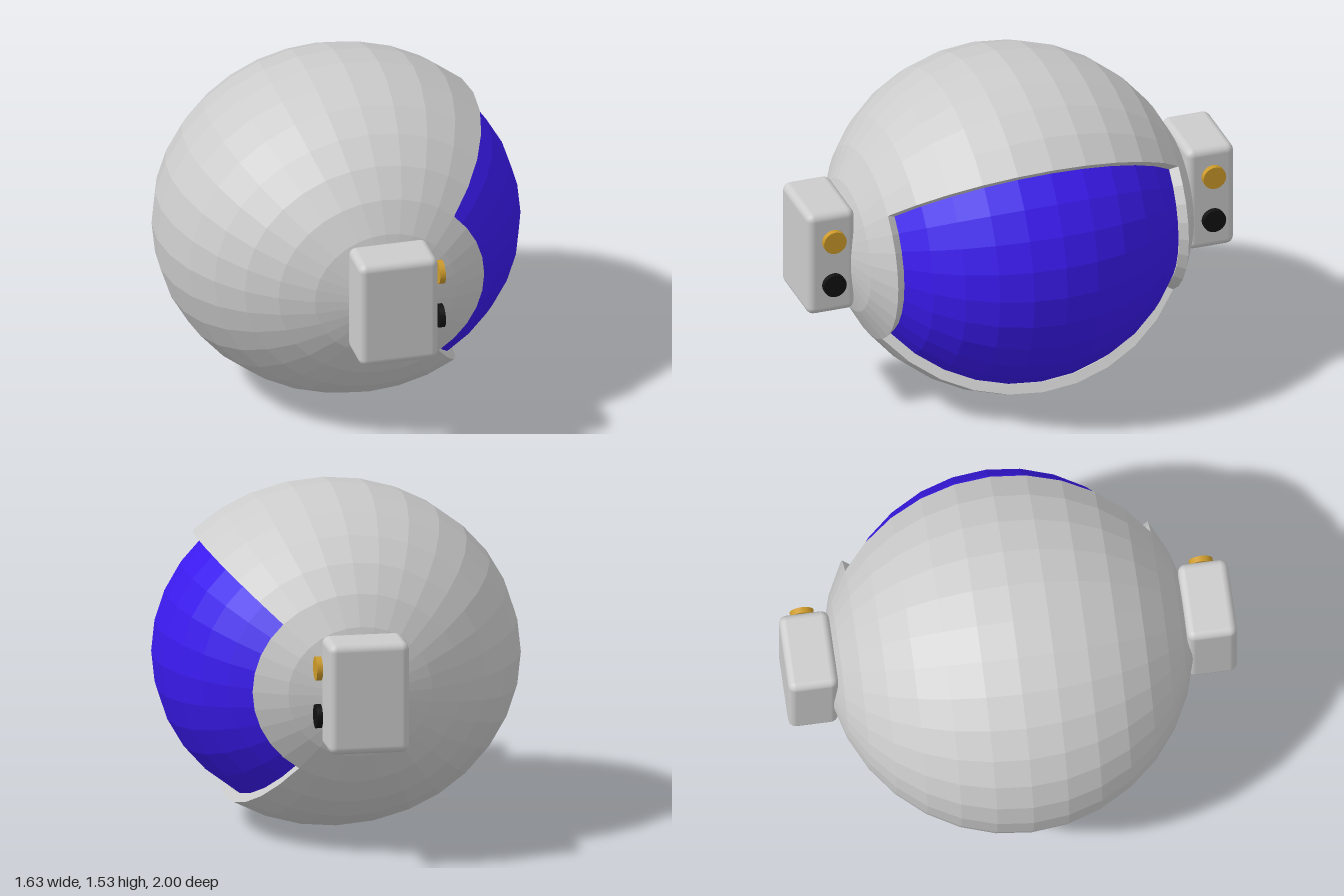
import * as THREE from 'three';
import { RoundedBoxGeometry } from 'three/addons/geometries/RoundedBoxGeometry.js';

const CX = 0.028, CY = 0.767;
const RINGS = 16, SEGS = 32;               // poles lie on the z axis
const I0 = 3, I1 = 13, J0 = -5, J1 = 4;    // face opening in grid cells
const OUTER = [0.843, 0.767, 0.817];
const INNER = [0.798, 0.722, 0.772];
const VISOR = [0.787, 0.722, 0.772];

// Point of an ellipsoid grid: i runs from +z pole to -z pole, j around the axis
function point([rx, ry, rz], [i, j]) {
  const t = (i * Math.PI) / RINGS, p = (j * 2 * Math.PI) / SEGS;
  return [CX + rx * Math.sin(t) * Math.cos(p), CY + ry * Math.sin(t) * Math.sin(p), rz * Math.cos(t)];
}

const inOpening = (i, j) => i >= I0 && i < I1 && j >= J0 && j < J1;

// Adds the ellipsoid cells accepted by the test; flip turns them inward
function addCells(out, radii, test, flip = false) {
  for (let i = 0; i < RINGS; i++) {
    for (let j = J0; j < J0 + SEGS; j++) {
      if (!test(i, j)) continue;
      const q = [[i, j], [i + 1, j], [i + 1, j + 1], [i, j + 1]].map((c) => point(radii, c));
      if (flip) q.reverse();
      addQuad(out, ...q);
    }
  }
}

function addQuad(out, a, b, c, d) {
  out.push(...a, ...b, ...c, ...a, ...c, ...d);
}

function toGeometry(positions) {
  const g = new THREE.BufferGeometry();
  g.setAttribute('position', new THREE.Float32BufferAttribute(positions, 3));
  g.computeVertexNormals();
  return g;
}

// Hollow shell with thickness and a rim around the opening
function shellGeometry() {
  const out = [];
  const keep = (i, j) => !inOpening(i, j);
  addCells(out, OUTER, keep);
  addCells(out, INNER, keep, true);
  const loop = [];
  for (let i = I0; i < I1; i++) loop.push([i, J0]);
  for (let j = J0; j < J1; j++) loop.push([I1, j]);
  for (let i = I1; i > I0; i--) loop.push([i, J1]);
  for (let j = J1; j > J0; j--) loop.push([I0, j]);
  loop.forEach((p, k) => {
    const q = loop[(k + 1) % loop.length];
    addQuad(out, point(OUTER, p), point(OUTER, q), point(INNER, q), point(INNER, p));
  });
  return toGeometry(out);
}

function visorGeometry() {
  const out = [];
  addCells(out, VISOR, inOpening);
  return toGeometry(out);
}

export function createModel() {
  const model = new THREE.Group();
  model.name = 'helmet';
  const grey = new THREE.MeshStandardMaterial({ color: 0xcccccc });
  const greyFlat = new THREE.MeshStandardMaterial({ color: 0xcccccc, flatShading: true });
  const blue = new THREE.MeshStandardMaterial({ color: 0x3a1aee, flatShading: true, side: THREE.DoubleSide });
  const gold = new THREE.MeshStandardMaterial({ color: 0xcc9a2a });
  const black = new THREE.MeshStandardMaterial({ color: 0x111111 });

  function add(parent, name, geometry, material, x = 0, y = 0, z = 0) {
    const mesh = new THREE.Mesh(geometry, material);
    mesh.name = name;
    mesh.position.set(x, y, z);
    parent.add(mesh);
  }

  add(model, 'shell', shellGeometry(), greyFlat);
  add(model, 'visor', visorGeometry(), blue);

  // Ear units: rounded housing with two round lamps facing the visor side
  const housing = new RoundedBoxGeometry(0.36, 0.5, 0.222, 3, 0.035);
  const lamp = new THREE.CylinderGeometry(0.053, 0.053, 0.026, 32).rotateZ(Math.PI / 2);
  for (const side of [1, -1]) {
    const ear = new THREE.Group();
    ear.name = side > 0 ? 'frontEarUnit' : 'backEarUnit';
    add(ear, 'housing', housing, grey, CX, 0.79, side * 0.887);
    add(ear, 'upperLamp', lamp, gold, 0.241, 0.915, side * 0.887);
    add(ear, 'lowerLamp', lamp, black, 0.241, 0.698, side * 0.887);
    model.add(ear);
  }
  return model;
}
